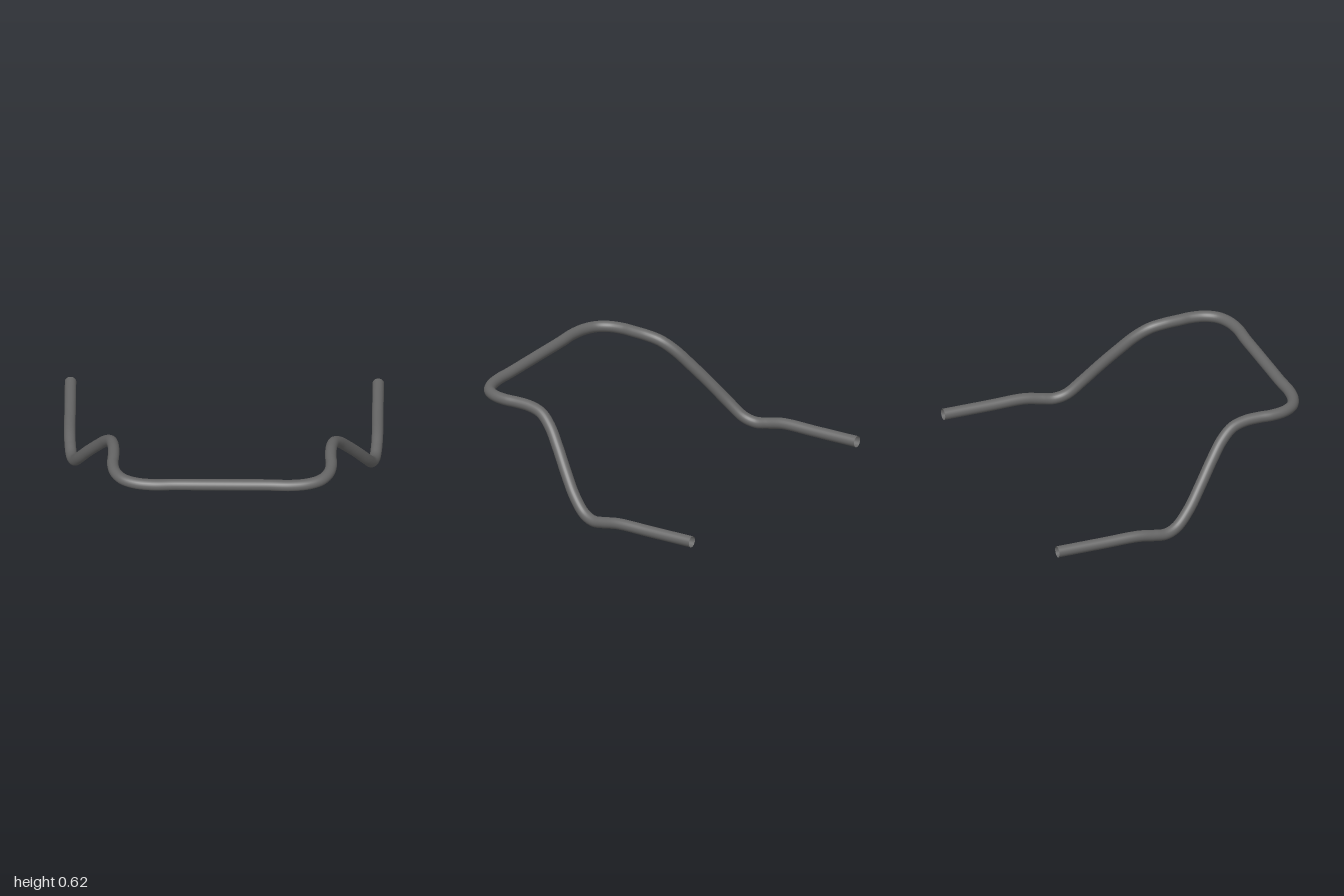
import * as THREE from 'three';

// Centreline of the left half, from the rear end to just before the middle
const HALF = [
  [0.964, 0.066, -0.908], [0.964, 0.066, -0.6], [0.964, 0.066, -0.36],
  [0.959, 0.047, -0.25], [0.95, 0.036, -0.17], [0.932, 0.061, -0.09], [0.9, 0.152, 0.005],
  [0.845, 0.275, 0.105], [0.782, 0.398, 0.205], [0.73, 0.498, 0.295], [0.696, 0.557, 0.38],
  [0.682, 0.578, 0.47], [0.681, 0.583, 0.57], [0.685, 0.583, 0.65], [0.668, 0.583, 0.74],
  [0.62, 0.583, 0.811], [0.54, 0.583, 0.852], [0.43, 0.583, 0.869], [0.3, 0.583, 0.865],
  [0.12, 0.583, 0.865],
];

export function createModel() {
  const group = new THREE.Group();
  group.name = 'bentBar';

  const steel = new THREE.MeshStandardMaterial({ color: 0x666666, side: THREE.DoubleSide });
  steel.name = 'dark grey steel';

  // Mirror the half path to get one continuous bar
  const left = HALF.map(([x, y, z]) => new THREE.Vector3(x, y, z));
  const right = HALF.map(([x, y, z]) => new THREE.Vector3(-x, y, z)).reverse();
  const path = new THREE.CatmullRomCurve3([...left, ...right], false, 'centripetal');
  path.arcLengthDivisions = 1000;

  // Hollow round tube with open rear ends
  const bar = new THREE.Mesh(new THREE.TubeGeometry(path, 240, 0.036, 24, false), steel);
  bar.name = 'bentTube';
  group.add(bar);
  return group;
}
